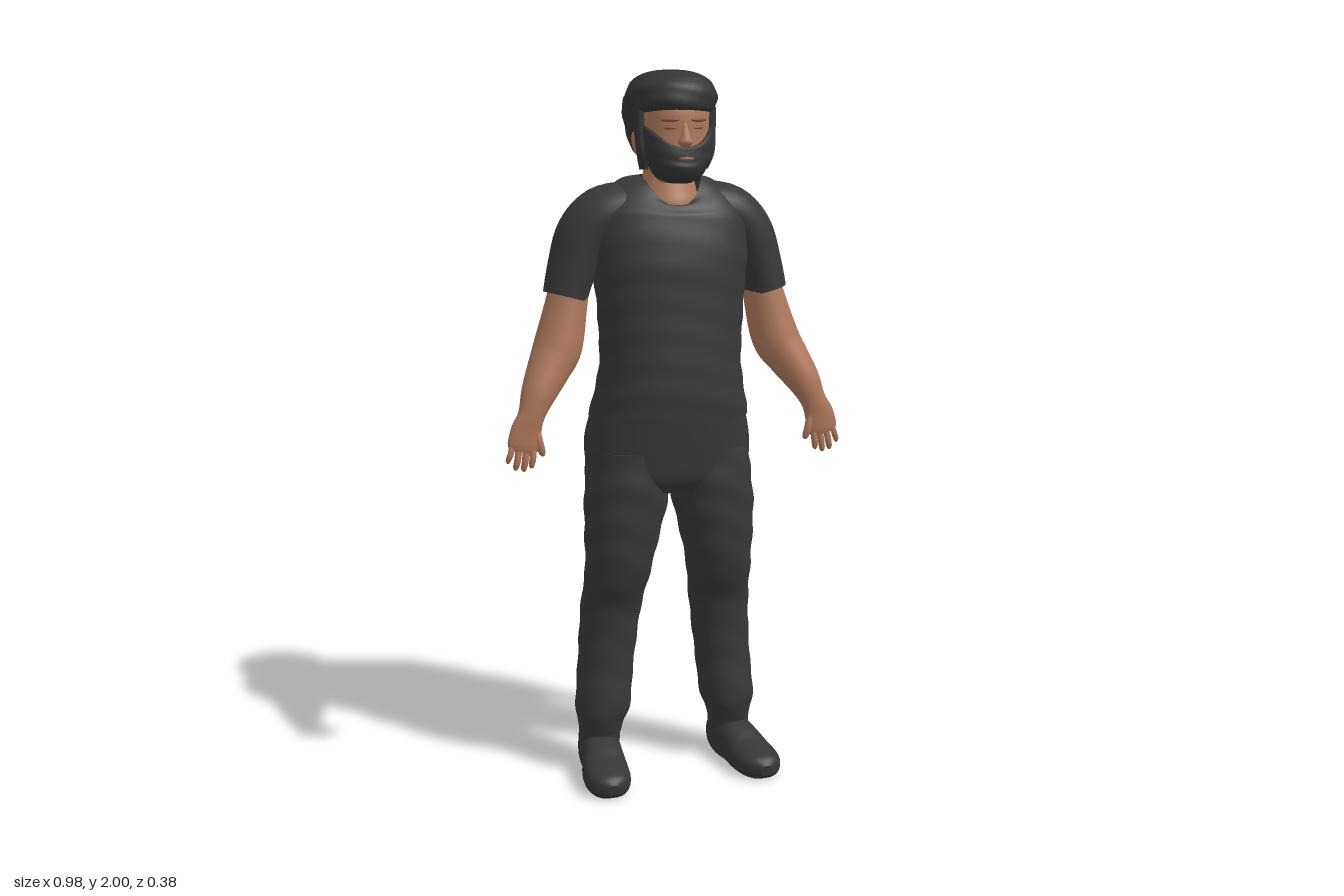
import * as THREE from 'three';

const flat = (name, color) => Object.assign(new THREE.MeshStandardMaterial({ color }), { name });

// Catmull-Rom blend of four numbers
const spline = (a, b, c, d, t) =>
  b + 0.5 * t * (c - a + t * (2 * a - 5 * b + 4 * c - d + t * (3 * (b - c) + d - a)));

// Smooth skin over rings [x, y, z, halfWidth, halfDepth, frontDip].
// along: rings stand square to the path; ref: direction of halfDepth
function loft(rows, { along = false, ref = [0, 0, 1], power = 2, wrinkle = 0, freq = 60, sides = 32, sub = 5, floor = false, caps = true } = {}) {
  const rings = [];
  const at = i => rows[Math.min(Math.max(i, 0), rows.length - 1)];
  for (let i = 0; i < rows.length - 1; i++)
    for (let s = 0; s < sub; s++)
      rings.push(rows[0].map((_, k) => spline(at(i - 1)[k], at(i)[k], at(i + 1)[k], at(i + 2)[k], s / sub)));
  rings.push(rows[rows.length - 1]);
  const center = r => new THREE.Vector3(r[0], r[1], r[2]);
  const pos = [], idx = [];
  rings.forEach((r, i) => {
    let u = new THREE.Vector3(1, 0, 0), v = new THREE.Vector3(...ref);
    if (along) {
      const t = center(rings[Math.min(i + 1, rings.length - 1)]).sub(center(rings[Math.max(i - 1, 0)])).normalize();
      v.addScaledVector(t, -v.dot(t)).normalize();
      u = t.clone().cross(v);
    }
    for (let j = 0; j < sides; j++) {
      const a = j / sides * Math.PI * 2, c = Math.cos(a), s = Math.sin(a);
      const w = 1 + wrinkle * Math.sin((along ? r[2] : r[1]) * freq + 2.5 * Math.sin(2 * a + 0.7));
      const p = center(r)
        .addScaledVector(u, w * r[3] * Math.sign(c) * Math.abs(c) ** (2 / power))
        .addScaledVector(v, w * r[4] * Math.sign(s) * Math.abs(s) ** (2 / power));
      p.y -= (r[5] || 0) * Math.max(0, s) ** 2;
      if (floor) p.y = Math.max(0, p.y);
      pos.push(p.x, p.y, p.z);
      if (i) {
        const n = (j + 1) % sides, b = (i - 1) * sides, t = i * sides;
        idx.push(b + j, t + j, b + n, b + n, t + j, t + n);
      }
    }
  });
  // Flat end caps with their own vertices
  if (caps) for (const end of [0, rings.length - 1]) {
    const start = pos.length / 3, mid = new THREE.Vector3();
    for (let j = 0; j < sides; j++) {
      const q = pos.slice((end * sides + j) * 3, (end * sides + j) * 3 + 3);
      pos.push(...q);
      mid.add(new THREE.Vector3(...q));
    }
    mid.divideScalar(sides);
    pos.push(mid.x, mid.y, mid.z);
    for (let j = 0; j < sides; j++) {
      const n = (j + 1) % sides;
      idx.push(start + sides, start + (end ? n : j), start + (end ? j : n));
    }
  }
  const g = new THREE.BufferGeometry();
  g.setAttribute('position', new THREE.Float32BufferAttribute(pos, 3));
  g.setIndex(idx);
  g.computeVertexNormals();
  return g;
}

export function createModel() {
  const model = new THREE.Group();
  model.name = 'standingMan';
  const skin = flat('skin', 0xad775a);
  const lipTone = flat('lips', 0x8c5846);
  const cloth = flat('charcoalCloth', 0x383838);
  cloth.side = THREE.DoubleSide;
  const hairTone = flat('darkHair', 0x343434);
  const leather = flat('darkLeather', 0x363636);

  const add = (name, geometry, material, parent = model) => {
    const m = new THREE.Mesh(geometry, material);
    m.name = name;
    parent.add(m);
    return m;
  };
  const blob = (name, material, p, s, parent = model) => {
    const m = add(name, new THREE.SphereGeometry(1, 20, 14), material, parent);
    m.position.set(...p);
    m.scale.set(...s);
    return m;
  };

  // Shirt body with a scooped neckline
  add('shirt', loft([
    [0, 1.05, -0.025, 0.228, 0.16, 0], [0, 1.11, -0.015, 0.215, 0.156, 0],
    [0, 1.2, -0.006, 0.2, 0.146, 0], [0, 1.3, -0.005, 0.203, 0.14, 0],
    [0, 1.4, -0.008, 0.21, 0.138, 0], [0, 1.5, -0.02, 0.222, 0.145, 0],
    [0, 1.6, -0.035, 0.222, 0.138, 0], [0, 1.66, -0.04, 0.185, 0.13, 0.035],
    [0, 1.705, -0.042, 0.13, 0.118, 0.065], [0, 1.717, -0.02, 0.085, 0.09, 0.08],
  ], { power: 2.3, wrinkle: 0.008, freq: 75, caps: false, sides: 48 }), cloth);

  // Trousers: seat
  add('trouserSeat', loft([
    [0, 0.84, -0.02, 0.14, 0.09], [0, 0.88, -0.025, 0.225, 0.12], [0, 0.94, -0.035, 0.238, 0.14],
    [0, 1.0, -0.037, 0.235, 0.149], [0, 1.08, -0.025, 0.215, 0.145],
  ], { power: 2.4, sides: 48 }), cloth);

  // Neck and open chest
  add('neck', loft([
    [0, 1.58, -0.025, 0.085, 0.085], [0, 1.64, -0.025, 0.085, 0.09], [0, 1.68, -0.025, 0.078, 0.075],
    [0, 1.73, -0.027, 0.069, 0.062], [0, 1.82, -0.025, 0.066, 0.06],
  ]), skin);

  // Head
  const head = new THREE.Group();
  head.name = 'head';
  model.add(head);
  add('face', loft([
    [0, 1.7, 0.04, 0.04, 0.05], [0, 1.73, 0.045, 0.068, 0.075], [0, 1.78, 0.037, 0.086, 0.092],
    [0, 1.83, 0.025, 0.092, 0.102], [0, 1.865, 0.02, 0.094, 0.107], [0, 1.9, 0.012, 0.096, 0.11],
    [0, 1.95, 0, 0.085, 0.1], [0, 1.98, 0, 0.04, 0.05],
  ], { power: 2.2 }), skin, head);
  add('nose', loft([
    [0, 1.795, 0.122, 0.008, 0.008], [0, 1.808, 0.126, 0.021, 0.019], [0, 1.825, 0.124, 0.015, 0.017],
    [0, 1.85, 0.118, 0.01, 0.013], [0, 1.875, 0.112, 0.009, 0.01],
  ], { sides: 16 }), skin, head);
  for (const s of [-1, 1]) {
    const ear = blob('ear', skin, [s * 0.1, 1.805, 0.012], [0.014, 0.034, 0.02], head);
    ear.rotation.z = -s * 0.2;
    const brow = blob('brow', lipTone, [s * 0.04, 1.868, 0.118], [0.026, 0.006, 0.008], head);
    brow.rotation.set(0, s * 0.35, 0);
    const eye = blob('closedEye', lipTone, [s * 0.038, 1.847, 0.116], [0.018, 0.005, 0.006], head);
    eye.rotation.y = s * 0.35;
    add('sideLock', loft([
      [s * 0.085, 1.735, 0.025, 0.012, 0.015], [s * 0.096, 1.78, 0.042, 0.014, 0.018],
      [s * 0.1, 1.84, 0.035, 0.015, 0.022], [s * 0.1, 1.9, 0.02, 0.02, 0.035],
    ], { sides: 14 }), hairTone, head);
  }

  // Beard, rising from the upper lip to the sideburns
  add('beard', loft([
    [0, 1.7, 0.065, 0.03, 0.04, 0], [0, 1.715, 0.063, 0.058, 0.066, 0],
    [0, 1.75, 0.058, 0.082, 0.083, 0.01], [0, 1.79, 0.053, 0.094, 0.086, 0.03],
    [0, 1.845, 0.043, 0.098, 0.092, 0.052], [0, 1.852, 0.043, 0.088, 0.082, 0.056],
  ], { power: 2.2, wrinkle: 0.01, freq: 120, caps: true }), hairTone, head);
  blob('mouth', lipTone, [0, 1.766, 0.137], [0.022, 0.006, 0.007], head);

  // Hair: crown, and the fuller mass behind the ears
  add('hairCrown', loft([
    [0, 1.885, -0.002, 0.1, 0.115], [0, 1.9, 0, 0.118, 0.129], [0, 1.93, 0.002, 0.123, 0.131],
    [0, 1.96, 0, 0.113, 0.122], [0, 1.985, -0.002, 0.083, 0.095], [0, 1.997, -0.004, 0.045, 0.055],
    [0, 2.0, -0.005, 0.005, 0.006],
  ], { power: 2.15, wrinkle: 0.014, freq: 130, sides: 40 }), hairTone, head);
  add('hairBack', loft([
    [0, 1.765, -0.04, 0.072, 0.045], [0, 1.785, -0.04, 0.096, 0.065], [0, 1.83, -0.045, 0.111, 0.07],
    [0, 1.88, -0.045, 0.121, 0.08], [0, 1.92, -0.04, 0.121, 0.087], [0, 1.95, -0.03, 0.1, 0.08],
  ], { power: 2.3, wrinkle: 0.012, freq: 110 }), hairTone, head);

  // Paired limbs
  for (const s of [-1, 1]) {
    const side = s > 0 ? 'left' : 'right';
    const flip = rows => rows.map(([x, ...rest]) => [s * x, ...rest]);

    add(side + 'Sleeve', loft(flip([
      [0.1, 1.635, -0.05, 0.068, 0.1], [0.18, 1.612, -0.05, 0.077, 0.1], [0.235, 1.555, -0.05, 0.077, 0.092],
      [0.27, 1.47, -0.045, 0.068, 0.08], [0.293, 1.39, -0.04, 0.061, 0.073],
    ]), { along: true, wrinkle: 0.006 }), cloth);

    add(side + 'Arm', loft(flip([
      [0.27, 1.46, -0.045, 0.054, 0.066], [0.288, 1.38, -0.038, 0.057, 0.067], [0.318, 1.26, -0.022, 0.067, 0.07],
      [0.35, 1.2, 0, 0.06, 0.06], [0.388, 1.135, 0.028, 0.048, 0.046], [0.412, 1.08, 0.045, 0.037, 0.03],
      [0.428, 1.04, 0.052, 0.043, 0.02], [0.437, 1.0, 0.055, 0.045, 0.016], [0.441, 0.982, 0.056, 0.036, 0.011],
    ]), { along: true }), skin);

    // Fingers and thumb: [base x, y, tip x, y, radius]
    [[0.41, 0.998, 0.416, 0.936, 0.0095], [0.43, 0.993, 0.438, 0.928, 0.0095], [0.45, 0.995, 0.46, 0.933, 0.0095],
      [0.468, 1.005, 0.481, 0.953, 0.0085], [0.4, 1.035, 0.386, 0.968, 0.011]].forEach(([bx, by, tx, ty, r], i) =>
      add(side + (i < 4 ? 'Finger' : 'Thumb'), loft(flip([
        [bx, by, 0.055, r, r], [(bx + tx) / 2, (by + ty) / 2, 0.06, r, r],
        [tx, ty + 0.008, 0.057, r * 0.85, r * 0.85], [tx, ty, 0.055, r * 0.3, r * 0.3],
      ]), { along: true, sides: 10, sub: 3 }), skin));

    add(side + 'TrouserLeg', loft(flip([
      [0.198, 0.115, -0.06, 0.06, 0.064], [0.196, 0.15, -0.06, 0.068, 0.074], [0.19, 0.2, -0.057, 0.079, 0.083],
      [0.181, 0.3, -0.064, 0.08, 0.083], [0.172, 0.4, -0.064, 0.083, 0.085], [0.163, 0.5, -0.055, 0.087, 0.088],
      [0.152, 0.6, -0.026, 0.092, 0.1], [0.142, 0.7, -0.018, 0.104, 0.107], [0.13, 0.8, -0.016, 0.117, 0.112],
      [0.122, 0.88, -0.025, 0.118, 0.125], [0.118, 0.96, -0.035, 0.112, 0.13],
    ]), { power: 2.15, wrinkle: 0.018, freq: 62 }), cloth);

    // Boot: ankle shaft and flat-soled foot
    add(side + 'BootShaft', loft(flip([
      [0.202, 0.03, -0.07, 0.056, 0.066], [0.2, 0.09, -0.065, 0.06, 0.068], [0.198, 0.155, -0.062, 0.058, 0.062],
    ])), leather);
    add(side + 'BootFoot', loft(flip([
      [0.198, 0.045, -0.142, 0.025, 0.035], [0.199, 0.046, -0.125, 0.048, 0.055], [0.202, 0.05, -0.06, 0.06, 0.068],
      [0.21, 0.048, 0.01, 0.06, 0.062], [0.219, 0.036, 0.07, 0.066, 0.05], [0.226, 0.032, 0.13, 0.064, 0.042],
      [0.228, 0.03, 0.17, 0.048, 0.034], [0.228, 0.028, 0.19, 0.016, 0.016],
    ]), { along: true, ref: [0, 1, 0], power: 2.4, floor: true }), leather);
  }
  return model;
}
